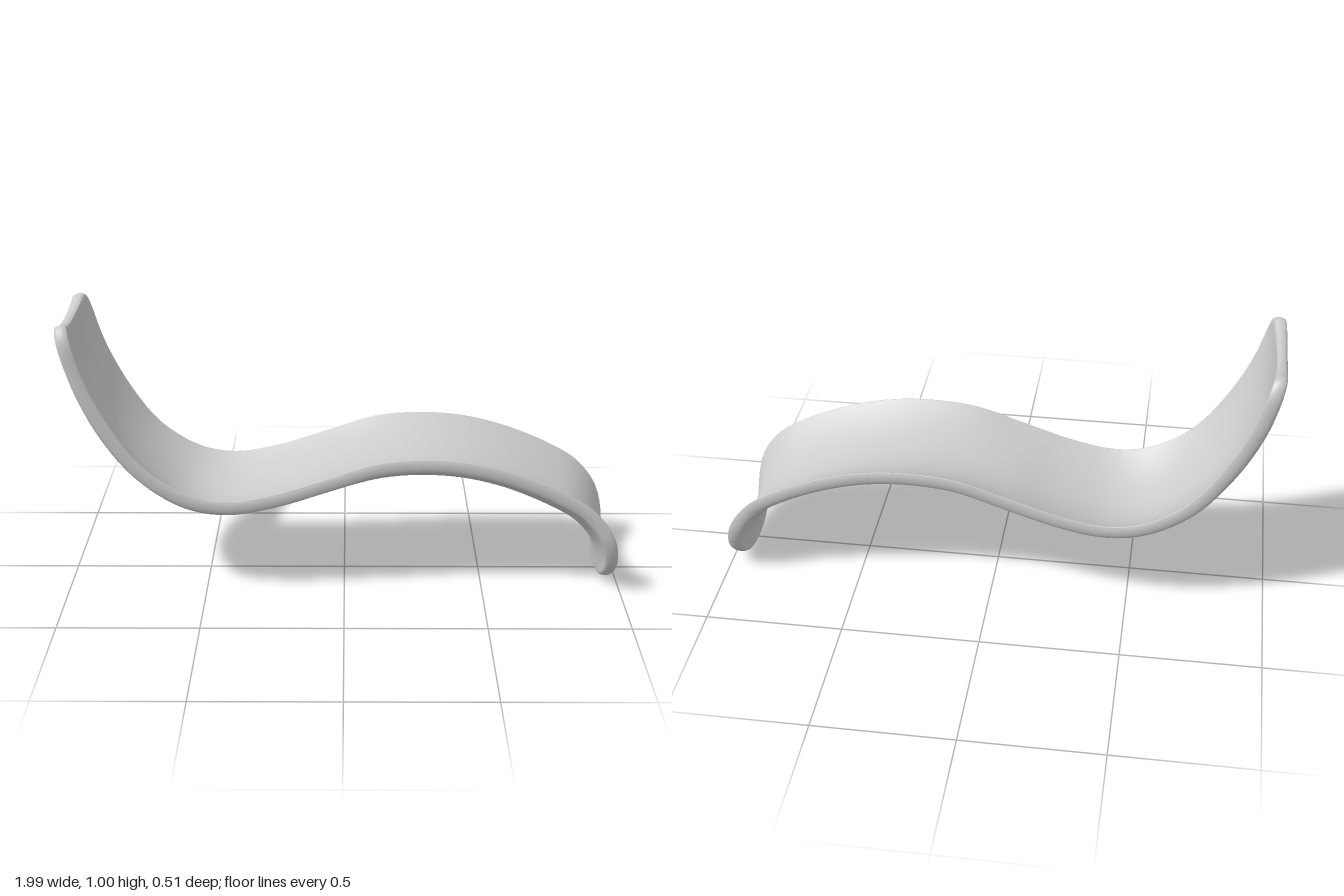
import * as THREE from 'three';
import { toCreasedNormals } from 'three/addons/utils/BufferGeometryUtils.js';

const HALF_WIDTH = 0.255, ROWS = 90, COLS = 28, RIM_STEPS = 6;

const curve = (pts) => new THREE.CatmullRomCurve3(pts.map(([x, y]) => new THREE.Vector3(x, y, 0)));

// Upper face along the side edges, from the backrest top to the foot tip
const edgeLine = curve([
  [-0.945, 1.03], [-0.927, 0.93], [-0.88, 0.79], [-0.79, 0.62], [-0.69, 0.49], [-0.55, 0.40],
  [-0.42, 0.375], [-0.26, 0.40], [-0.07, 0.46], [0.115, 0.52], [0.275, 0.535], [0.435, 0.525],
  [0.6, 0.485], [0.78, 0.41], [0.89, 0.34], [0.965, 0.24], [1.0, 0.12], [0.995, 0.0],
]);
// Upper face along the sunken middle, point for point with the edges
const middleLine = curve([
  [-0.963, 0.975], [-0.955, 0.875], [-0.932, 0.755], [-0.86, 0.59], [-0.745, 0.445], [-0.58, 0.32],
  [-0.43, 0.293], [-0.243, 0.33], [-0.045, 0.398], [0.128, 0.435], [0.275, 0.447], [0.425, 0.435],
  [0.572, 0.40], [0.742, 0.328], [0.855, 0.262], [0.935, 0.17], [0.962, 0.09], [0.975, 0.003],
]);

// Point of the shell: u runs along and v across (both -1..1), a turns from upper face (0) to underside (PI)
function shellPoint(u, v, a) {
  const inset = 1 - Math.sin(a), av = Math.abs(v);
  // Rounded backrest corners and half-round foot
  const corner = Math.max(0, (av - 0.75) / 0.25);
  const start = 0.065 * (1 - Math.sqrt(Math.max(0, 1 - corner * corner)));
  const end = 1 - 0.125 * (1 - Math.sqrt(Math.max(0, 1 - v * v)));
  const t = start + (end - start) * (u * (1 - 0.012 * inset) + 1) / 2;
  const w = v * (1 - 0.03 * inset);
  const p = middleLine.getPoint(t).lerp(edgeLine.getPoint(t), w * w);
  const dir = middleLine.getTangent(t).lerp(edgeLine.getTangent(t), 0.5).normalize();
  const drop = (0.037 + 0.013 * w * w) * (1 - Math.cos(a)) / 2;
  return [p.x + dir.y * drop, p.y - dir.x * drop, w * HALF_WIDTH];
}

function shellGeometry() {
  const pos = [], index = [];
  const uAt = (i) => Math.sin((i / ROWS - 0.5) * Math.PI) * 0.3 + (i / ROWS * 2 - 1) * 0.7;
  const vAt = (j) => Math.sin((j / COLS - 0.5) * Math.PI);
  const quad = (a, b, c, d) => index.push(a, b, c, a, c, d);

  // Upper face and underside
  for (const a of [0, Math.PI]) {
    const base = pos.length / 3;
    for (let i = 0; i <= ROWS; i++)
      for (let j = 0; j <= COLS; j++) pos.push(...shellPoint(uAt(i), vAt(j), a));
    for (let i = 0; i < ROWS; i++)
      for (let j = 0; j < COLS; j++) {
        const k = base + i * (COLS + 1) + j, n = k + COLS + 1;
        if (a === 0) quad(k, k + 1, n + 1, n);
        else quad(k, n, n + 1, k + 1);
      }
  }

  // Rounded rim following the whole outline
  const outline = [];
  for (let j = 0; j < COLS; j++) outline.push([0, j]);
  for (let i = 0; i < ROWS; i++) outline.push([i, COLS]);
  for (let j = COLS; j > 0; j--) outline.push([ROWS, j]);
  for (let i = ROWS; i > 0; i--) outline.push([i, 0]);
  const base = pos.length / 3, ring = RIM_STEPS + 1;
  for (const [i, j] of outline)
    for (let k = 0; k < ring; k++) pos.push(...shellPoint(uAt(i), vAt(j), Math.PI * k / RIM_STEPS));
  outline.forEach((_, m) => {
    const p = base + m * ring, q = base + ((m + 1) % outline.length) * ring;
    for (let k = 0; k < RIM_STEPS; k++) quad(p + k, p + k + 1, q + k + 1, q + k);
  });

  const geo = new THREE.BufferGeometry();
  geo.setAttribute('position', new THREE.Float32BufferAttribute(pos, 3));
  geo.setIndex(index);
  return toCreasedNormals(geo, 0.6);
}

export function createModel() {
  const group = new THREE.Group();
  group.name = 'loungeChair';
  const material = new THREE.MeshStandardMaterial({ color: 0xcccccc, side: THREE.DoubleSide });
  const shell = new THREE.Mesh(shellGeometry(), material);
  shell.name = 'seatShell';
  group.add(shell);
  return group;
}
